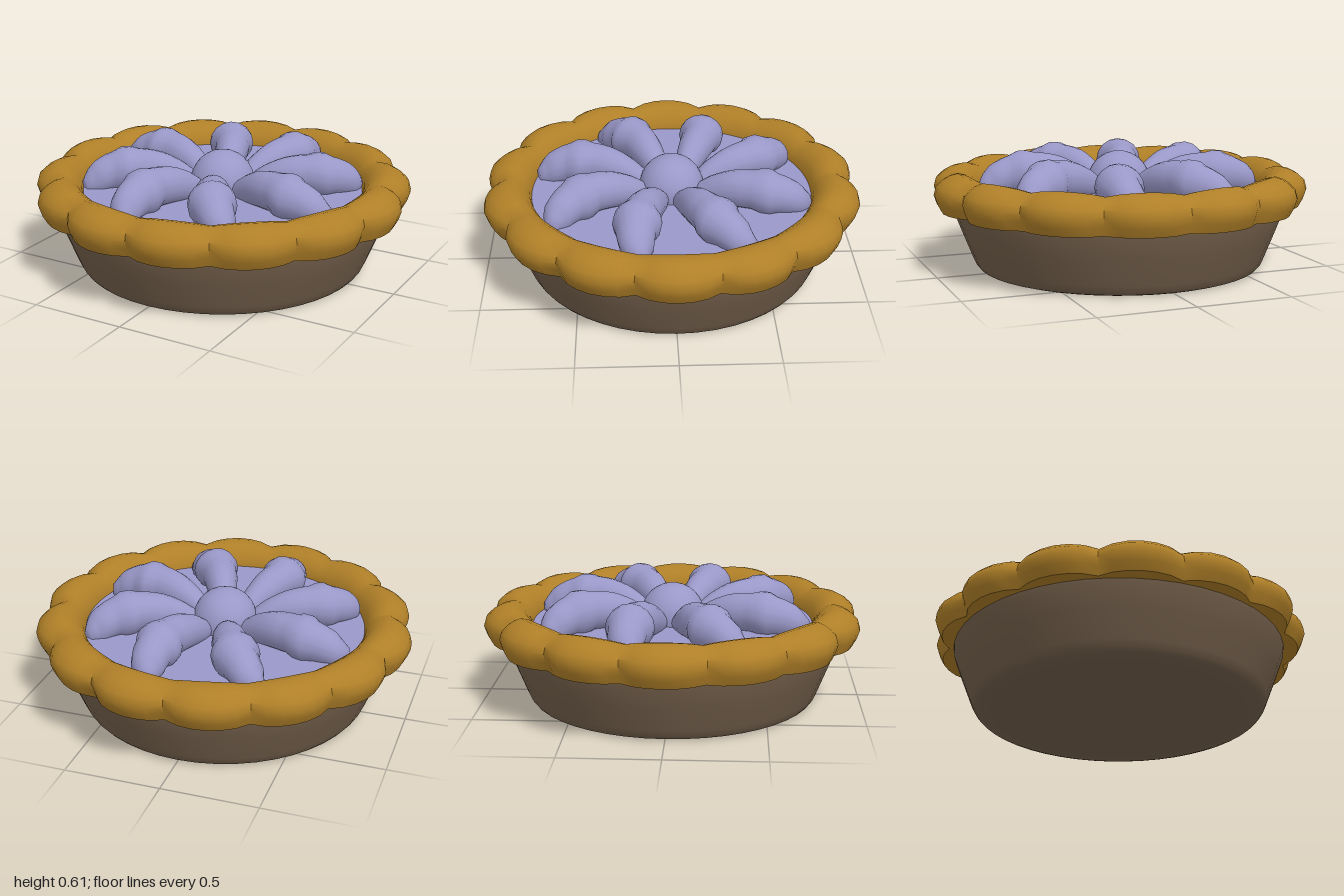
import * as THREE from 'three';
import { toCreasedNormals } from 'three/addons/utils/BufferGeometryUtils.js';

const SLICES = 8, LOBES = 14;
const material = (color) => new THREE.MeshStandardMaterial({ color });
const crustMat = material(0xb08028);
const panMat = material(0x74604c);
const fruitMat = material(0x9a98c8);

function add(parent, name, geometry, mat) {
  const mesh = new THREE.Mesh(geometry, mat);
  mesh.name = name;
  parent.add(mesh);
  return mesh;
}

function lathe(profile, segments, crease) {
  const points = profile.map(([r, y]) => new THREE.Vector2(r, y));
  return toCreasedNormals(new THREE.LatheGeometry(points, segments), crease);
}

// Ring of pastry whose outer side and top swell into even lobes
function crustGeometry() {
  const profile = [
    [0.74, 0.33], [0.96, 0.33], [0.985, 0.375], [1, 0.42], [0.987, 0.465], [0.95, 0.498],
    [0.91, 0.519], [0.87, 0.528], [0.825, 0.517], [0.785, 0.49], [0.755, 0.45], [0.74, 0.4], [0.74, 0.33],
  ].map(([r, y]) => new THREE.Vector2(r, y));
  const geo = new THREE.LatheGeometry(profile, LOBES * 6);
  const pos = geo.attributes.position;
  for (let i = 0; i < pos.count; i++) {
    const x = pos.getX(i), y = pos.getY(i), z = pos.getZ(i);
    const r = Math.hypot(x, z), angle = Math.atan2(x, z);
    const dip = 1 - Math.pow(Math.abs(Math.sin(angle * LOBES / 2)), 0.75);
    const k = 1 - dip * 0.17 * Math.max(0, r - 0.74);
    const outer = (r * k - dip * 0.022 * Math.max(0, (r - 0.74) / 0.26)) / r;
    const top = y - dip * 0.024 * Math.max(0, (y - 0.42) / 0.108);
    pos.setXYZ(i, x * outer, top, z * outer);
  }
  return toCreasedNormals(geo, 0.9);
}

// Curved fruit slice: a tube swept along an arched path with changing girth
function sliceGeometry() {
  const path = new THREE.CatmullRomCurve3([
    [0.13, 0.43, 0.065], [0.2, 0.455, 0.09], [0.3, 0.485, 0.13], [0.42, 0.497, 0.172],
    [0.55, 0.483, 0.195], [0.65, 0.45, 0.187], [0.715, 0.42, 0.165],
  ].map((p) => new THREE.Vector3(...p)));
  const girth = new THREE.CatmullRomCurve3([
    [0.05, 0.05], [0.067, 0.08], [0.086, 0.098], [0.1, 0.104],
    [0.1, 0.104], [0.082, 0.09], [0.03, 0.04],
  ].map(([w, h]) => new THREE.Vector3(w, h, 0)));
  const geo = new THREE.CylinderGeometry(1, 1, 1, 16, 18);
  const pos = geo.attributes.position;
  const up = new THREE.Vector3(0, 1, 0);
  for (let i = 0; i < pos.count; i++) {
    const t = THREE.MathUtils.clamp(pos.getY(i) + 0.5, 0, 1);
    const centre = path.getPoint(t), size = girth.getPoint(t);
    const side = path.getTangent(t).cross(up).normalize();
    centre.addScaledVector(side, pos.getX(i) * size.x);
    centre.addScaledVector(up, pos.getZ(i) * size.y);
    pos.setXYZ(i, centre.x, centre.y, centre.z);
  }
  return toCreasedNormals(geo, 1.2);
}

export function createModel() {
  const pie = new THREE.Group();
  pie.name = 'pie';

  // Tapered baking dish with a small rounded foot
  add(pie, 'dish', lathe([
    [0, 0], [0.725, 0], [0.755, 0.01], [0.77, 0.028], [0.785, 0.06],
    [0.84, 0.2], [0.88, 0.305], [0.885, 0.34],
  ], 48, 0.9), panMat);

  add(pie, 'crust', crustGeometry(), crustMat);

  // Flat filling inside the crust
  const filling = add(pie, 'filling', new THREE.CircleGeometry(0.75, 64), fruitMat);
  filling.rotation.x = -Math.PI / 2;
  filling.position.y = 0.41;

  // Pinwheel of slices around a central berry
  const slice = sliceGeometry();
  for (let i = 0; i < SLICES; i++) {
    add(pie, 'fruitSlice', slice, fruitMat).rotation.y = (i / SLICES) * Math.PI * 2;
  }
  const berry = add(pie, 'centreBerry', new THREE.SphereGeometry(0.17, 24, 16), fruitMat);
  berry.position.y = 0.44;
  return pie;
}
